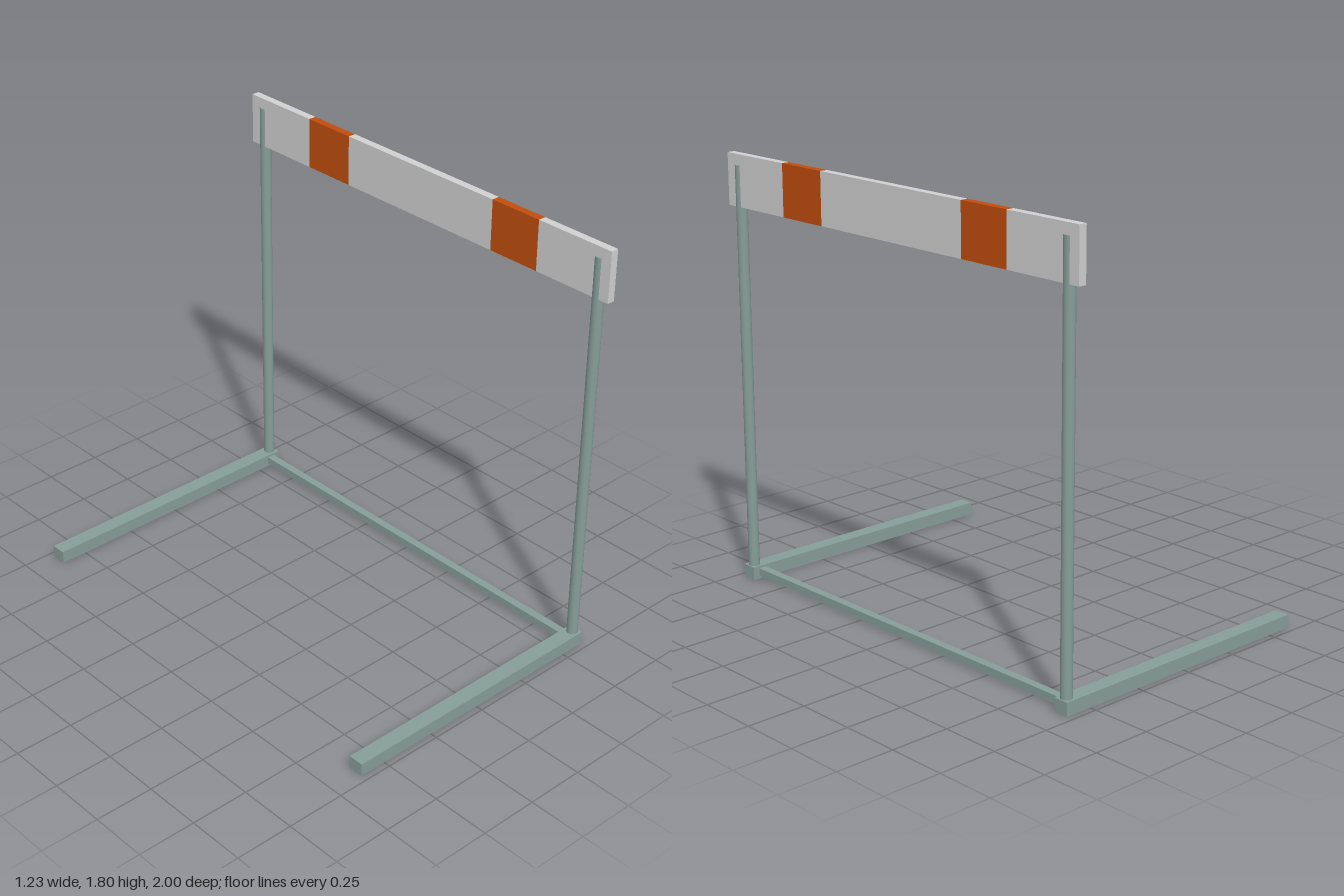
import * as THREE from 'three';

export function createModel() {
  const group = new THREE.Group();
  const make = (name, color) => {
    const m = new THREE.MeshStandardMaterial({ color });
    m.name = name;
    return m;
  };
  const steel = make('greyGreenSteel', 0x869d98);
  const white = make('boardWhite', 0xd0d0d0);
  const orange = make('stripeOrange', 0xc04d0e);

  const add = (name, geometry, material, x, y, z) => {
    const mesh = new THREE.Mesh(geometry, material);
    mesh.name = name;
    mesh.position.set(x, y, z);
    group.add(mesh);
  };
  // Box given by its lower and upper corners
  const box = (name, material, [x0, y0, z0], [x1, y1, z1]) =>
    add(name, new THREE.BoxGeometry(x1 - x0, y1 - y0, z1 - z0), material,
      (x0 + x1) / 2, (y0 + y1) / 2, (z0 + z1) / 2);

  // Feet and round posts on both sides; the posts pass through the board
  for (const side of [-1, 1]) {
    const z = side * 0.938;
    box('foot', steel, [-0.617, 0, z - 0.033], [0.617, 0.055, z + 0.033]);
    add('post', new THREE.CylinderGeometry(0.0235, 0.0235, 1.72, 16), steel, 0.589, 0.9, z);
  }

  // Low bar joining the feet
  box('crossbar', steel, [0.553, 0.012, -0.906], [0.588, 0.045, 0.906]);

  // Top board in alternating white and orange lengths
  const cuts = [-1, -0.641, -0.402, 0.402, 0.641, 1];
  for (let i = 0; i < 5; i++) {
    const striped = i % 2 === 1;
    box(striped ? 'boardStripe' : 'boardPanel', striped ? orange : white,
      [0.572, 1.59, cuts[i]], [0.606, 1.805, cuts[i + 1]]);
  }
  return group;
}
